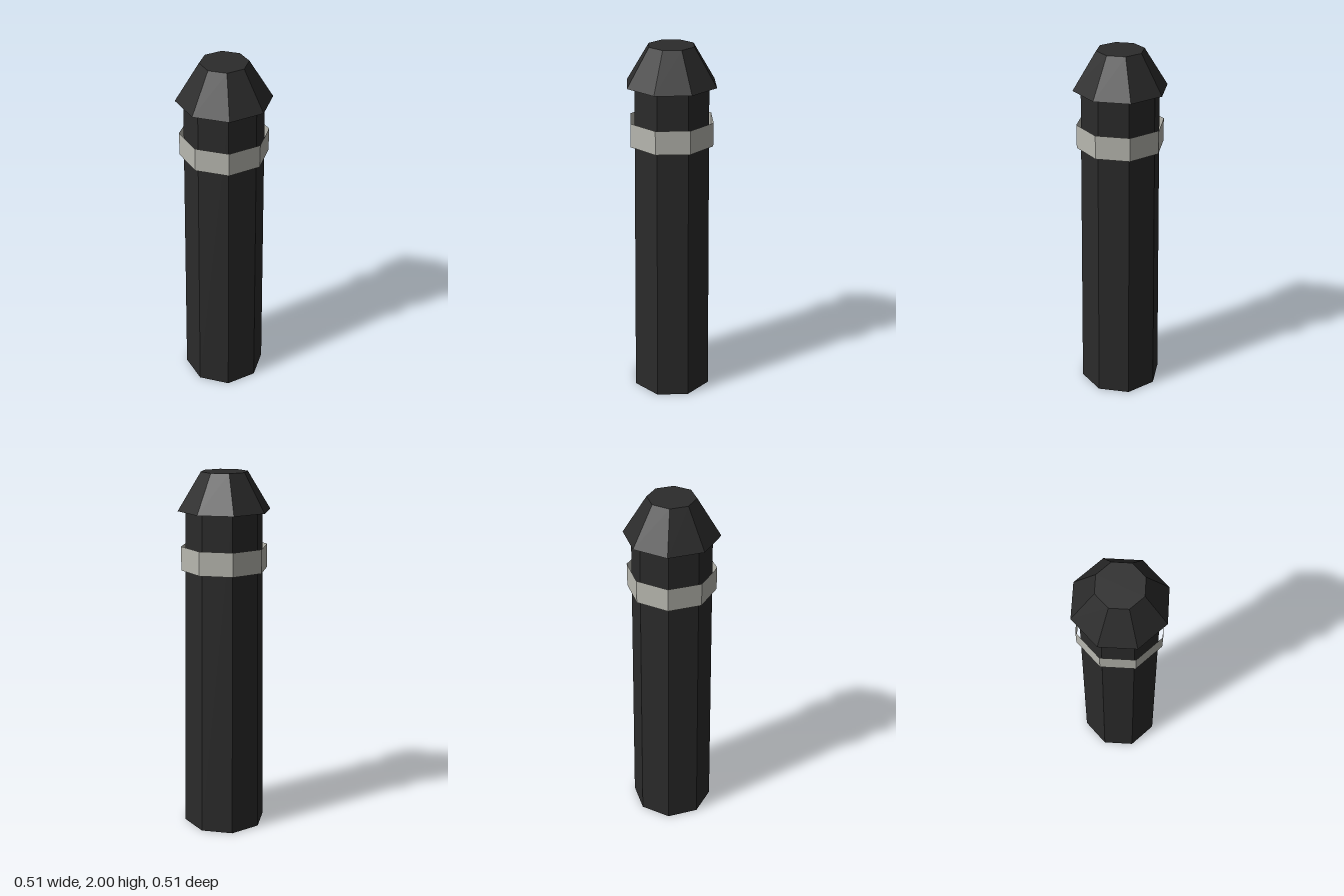
import * as THREE from 'three';

const SIDES = 8;

export function createModel() {
  const model = new THREE.Group();
  model.name = 'bollard';

  const blackPaint = new THREE.MeshStandardMaterial({ color: 0x2b2b2b, flatShading: true, side: THREE.DoubleSide });
  blackPaint.name = 'black paint';
  const paleBand = new THREE.MeshStandardMaterial({ color: 0xb8b8b0, flatShading: true, side: THREE.DoubleSide });
  paleBand.name = 'pale band';

  // Open eight-sided tapered sleeve between two heights
  const addSleeve = (name, topRadius, bottomRadius, bottom, top, material) => {
    const geometry = new THREE.CylinderGeometry(topRadius, bottomRadius, top - bottom, SIDES, 1, true);
    const mesh = new THREE.Mesh(geometry, material);
    mesh.name = name;
    mesh.position.y = (bottom + top) / 2;
    model.add(mesh);
  };

  addSleeve('post', 0.21, 0.23, 0, 1.795, blackPaint);
  addSleeve('reflectiveBand', 0.237, 0.237, 1.475, 1.605, paleBand);
  addSleeve('capSkirt', 0.127, 0.253, 1.795, 2, blackPaint);

  // Flat top closing the cap, its corners in line with the skirt
  const capTop = new THREE.Mesh(new THREE.CircleGeometry(0.127, SIDES), blackPaint);
  capTop.name = 'capTop';
  capTop.rotation.x = -Math.PI / 2;
  capTop.position.y = 2;
  model.add(capTop);

  return model;
}
